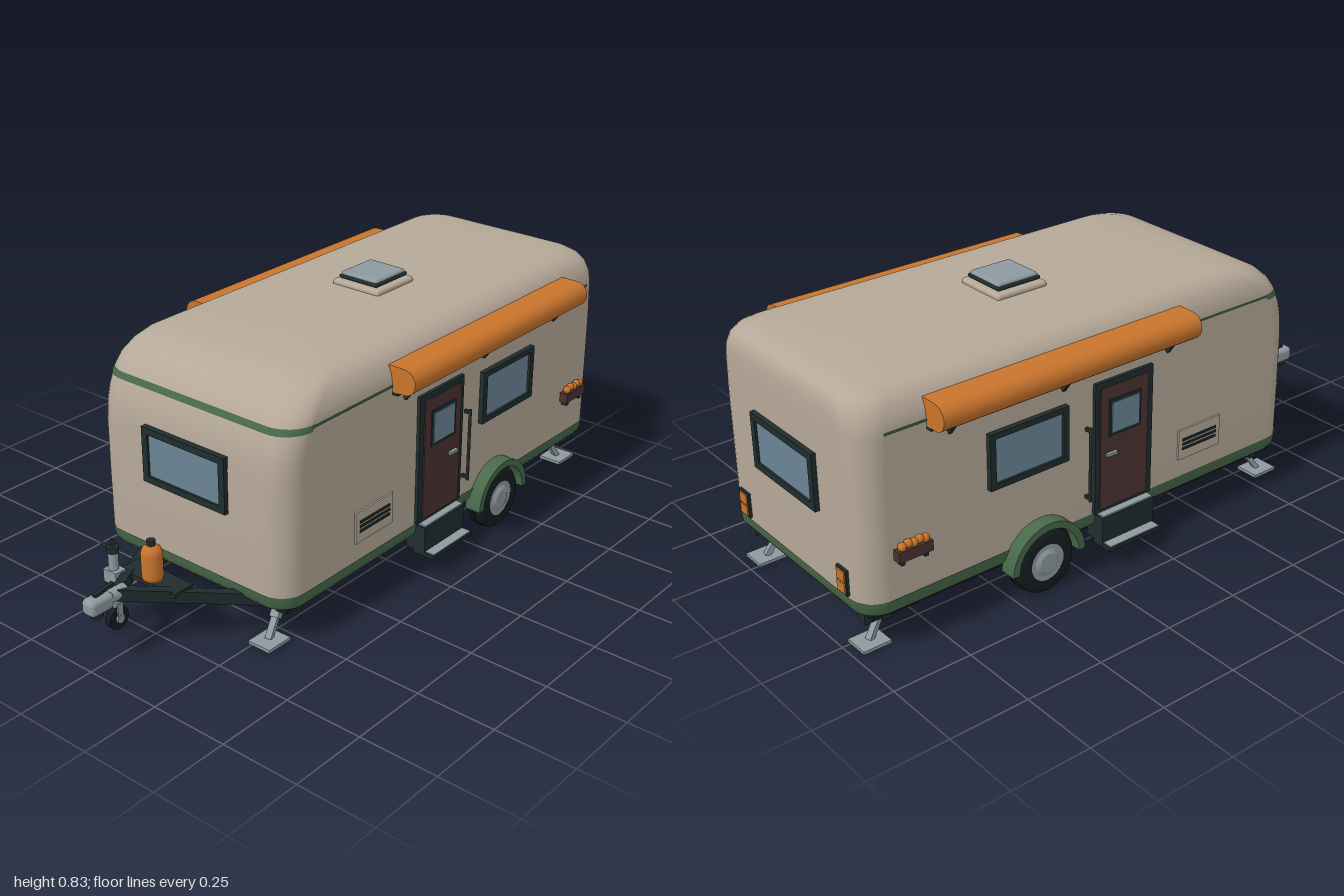
import * as THREE from 'three';
import { RoundedBoxGeometry } from 'three/addons/geometries/RoundedBoxGeometry.js';

const mat = (name, color, side = THREE.FrontSide) => {
  const m = new THREE.MeshStandardMaterial({ color, side });
  m.name = name;
  return m;
};
const M = {
  shell: mat('beige shell', 0xb5a898),
  green: mat('green trim', 0x48694a, THREE.DoubleSide),
  orange: mat('orange', 0xc8742c),
  dark: mat('dark trim', 0x1f2c2d),
  floor: mat('underfloor black', 0x141c1c),
  brown: mat('door brown', 0x4b3232),
  glass: mat('window glass', 0x6a8496),
  steel: mat('steel', 0x8d999f),
};

// Body levels: y, half width, front z, back z, corner radius
const LEVELS = [
  [0.118, 0.335, 0.57, -0.955, 0.06], [0.125, 0.351, 0.587, -0.972, 0.07],
  [0.14, 0.361, 0.598, -0.982, 0.078], [0.172, 0.365, 0.602, -0.985, 0.08],
  [0.34, 0.365, 0.603, -0.985, 0.08], [0.52, 0.365, 0.602, -0.985, 0.08],
  [0.58, 0.365, 0.597, -0.985, 0.082], [0.62, 0.365, 0.588, -0.985, 0.085],
  [0.658, 0.365, 0.574, -0.985, 0.088], [0.677, 0.365, 0.565, -0.985, 0.09],
  [0.705, 0.361, 0.546, -0.984, 0.092], [0.735, 0.348, 0.515, -0.98, 0.095],
  [0.757, 0.33, 0.475, -0.967, 0.095], [0.772, 0.303, 0.425, -0.945, 0.09],
  [0.779, 0.27, 0.365, -0.91, 0.08], [0.784, 0.19, 0.25, -0.82, 0.06],
  [0.787, 0.08, 0.05, -0.6, 0.03],
];

// Skin through rounded rectangles; grow pushes it outward, minZ keeps only the front part
function loft(levels, { grow = 0, cap = false, minZ = -9 } = {}) {
  const pos = [], idx = [], K = 9;
  for (const [y, w, zf, zb, r] of levels)
    for (let c = 0; c < 4; c++)
      for (let k = 0; k < K; k++) {
        const a = (c + k / (K - 1)) * Math.PI / 2;
        const cx = (c === 0 || c === 3 ? 1 : -1) * (w - r), cz = c < 2 ? zf - r : zb + r;
        pos.push(cx + Math.cos(a) * (r + grow), y, cz + Math.sin(a) * (r + grow));
      }
  const n = 4 * K;
  for (let l = 0; l < levels.length - 1; l++)
    for (let i = 0; i < n; i++) {
      const a = l * n + i, b = l * n + (i + 1) % n;
      if (Math.min(pos[a * 3 + 2], pos[b * 3 + 2]) < minZ) continue;
      idx.push(a, a + n, b, b, a + n, b + n);
    }
  if (cap) {
    const [y, , zf, zb] = levels[levels.length - 1], base = (levels.length - 1) * n;
    pos.push(0, y, (zf + zb) / 2);
    for (let i = 0; i < n; i++) idx.push(base + i, levels.length * n, base + (i + 1) % n);
  }
  const g = new THREE.BufferGeometry();
  g.setAttribute('position', new THREE.Float32BufferAttribute(pos, 3));
  g.setIndex(idx);
  g.computeVertexNormals();
  return g;
}

export function createModel() {
  const root = new THREE.Group();
  root.name = 'travelTrailer';
  const add = (name, geo, m, x = 0, y = 0, z = 0) => {
    const o = new THREE.Mesh(geo, m);
    o.name = name;
    o.position.set(x, y, z);
    root.add(o);
    return o;
  };
  // Box given by its ranges
  const box = (name, m, x0, x1, y0, y1, z0, z1) => add(name,
    new THREE.BoxGeometry(Math.abs(x1 - x0), y1 - y0, Math.abs(z1 - z0)), m, (x0 + x1) / 2, (y0 + y1) / 2, (z0 + z1) / 2);
  const cyl = (name, m, r0, r1, h, x, y, z, n = 20) => add(name, new THREE.CylinderGeometry(r1, r0, h, n), m, x, y, z);
  const between = (name, geo, m, a, b) => {
    const o = add(name, geo, m, (a[0] + b[0]) / 2, (a[1] + b[1]) / 2, (a[2] + b[2]) / 2);
    o.lookAt(...b);
  };
  const dist = (a, b) => Math.hypot(a[0] - b[0], a[1] - b[1], a[2] - b[2]);
  const beam = (name, m, a, b, w, h) => between(name, new THREE.BoxGeometry(w, h, dist(a, b)), m, a, b);
  const rod = (name, m, a, b, r) => between(name, new THREE.CylinderGeometry(r, r, dist(a, b), 14).rotateX(Math.PI / 2), m, a, b);

  // Shell, skirt and front stripe
  add('bodyShell', loft(LEVELS, { cap: true }), M.shell);
  add('skirt', loft(LEVELS.slice(0, 4), { grow: 0.003 }), M.green);
  add('frontStripe', loft(LEVELS.slice(8, 10), { grow: 0.002, minZ: 0.47 }), M.green);

  // Chassis
  box('floorPan', M.floor, -0.335, 0.335, 0.108, 0.121, -0.95, 0.56);
  for (const z of [-0.9, -0.4, 0.1, 0.5]) box('crossMember', M.dark, -0.33, 0.33, 0.093, 0.11, z - 0.015, z + 0.015);
  rod('axle', M.dark, [-0.35, 0.1, -0.4], [0.35, 0.1, -0.4], 0.015);

  // Front and rear windows
  for (const [d, z] of [[1, 0.6], [-1, -0.983]]) {
    box('endWindowGlass', M.glass, -0.138, 0.138, 0.405, 0.542, z, z + d * 0.01);
    for (const y of [0.385, 0.539]) box('endWindowFrame', M.dark, -0.16, 0.16, y, y + 0.021, z - d * 0.01, z + d * 0.017);
    for (const s of [1, -1]) box('endWindowFrame', M.dark, s * 0.138, s * 0.16, 0.385, 0.56, z - d * 0.01, z + d * 0.017);
  }

  // Roof hatch
  add('hatchBase', new RoundedBoxGeometry(0.18, 0.022, 0.18, 3, 0.01), M.shell, 0, 0.791, -0.235);
  box('hatchNeck', M.dark, -0.06, 0.06, 0.795, 0.81, -0.295, -0.175);
  add('hatchRim', new RoundedBoxGeometry(0.148, 0.012, 0.155, 3, 0.006), M.dark, 0, 0.811, -0.235);
  add('hatchLid', new RoundedBoxGeometry(0.138, 0.016, 0.145, 3, 0.008), M.steel, 0, 0.819, -0.235);

  for (const s of [1, -1]) {
    const side = (name, m, x0, x1, y0, y1, z0, z1) => box(name, m, s * x0, s * x1, y0, y1, z0, z1);
    side('sideTrimLine', M.green, 0.36, 0.3675, 0.667, 0.673, -0.9, 0.48);
    side('sideRail', M.dark, 0.275, 0.31, 0.085, 0.12, -0.96, 0.54);

    // Awning case with brackets
    const z0 = -0.77, z1 = 0.135, zm = (z0 + z1) / 2;
    add('awningRoll', new THREE.CylinderGeometry(0.04, 0.04, z1 - z0, 24).rotateX(Math.PI / 2), M.orange, s * 0.405, 0.692, zm);
    side('awningBack', M.orange, 0.345, 0.405, 0.652, 0.732, z0, z1);
    side('awningRail', M.dark, 0.362, 0.385, 0.643, 0.653, z0, z1);
    for (const z of [0.075, -0.315, -0.7])
      beam('awningBracket', M.dark, [s * 0.367, 0.612, z], [s * 0.4, 0.657, z], 0.012, 0.012);

    // Door
    side('doorFrame', M.dark, 0.355, 0.376, 0.172, 0.593, -0.205, 0.013);
    side('doorPanel', M.brown, 0.37, 0.38, 0.182, 0.575, -0.188, -0.008);
    side('doorWindowFrame', M.dark, 0.37, 0.383, 0.416, 0.533, -0.158, -0.038);
    side('doorWindow', M.glass, 0.375, 0.386, 0.426, 0.523, -0.149, -0.046);
    side('doorHandle', M.steel, 0.378, 0.39, 0.355, 0.364, -0.168, -0.13);
    rod('grabRail', M.dark, [s * 0.385, 0.23, -0.23], [s * 0.385, 0.47, -0.23], 0.005);
    for (const y of [0.24, 0.46]) side('grabRailMount', M.dark, 0.36, 0.386, y - 0.005, y + 0.005, -0.235, -0.225);

    // Entry step
    side('stepBox', M.dark, 0.33, 0.4, 0.08, 0.165, -0.195, 0.005);
    side('stepTopPlate', M.steel, 0.36, 0.398, 0.165, 0.17, -0.19, 0);
    side('stepTread', M.dark, 0.36, 0.435, 0.068, 0.08, -0.195, 0.005);
    side('stepTreadPlate', M.steel, 0.4, 0.432, 0.08, 0.083, -0.19, 0);

    // Side window
    side('sideWindowGlass', M.glass, 0.36, 0.373, 0.405, 0.547, -0.565, -0.32);
    for (const y of [0.39, 0.546]) side('sideWindowFrame', M.dark, 0.355, 0.381, y, y + 0.018, -0.58, -0.305);
    for (const z of [-0.58, -0.325]) side('sideWindowFrame', M.dark, 0.355, 0.381, 0.39, 0.564, z, z + 0.02);

    // Louvred vent
    side('ventPlate', M.shell, 0.36, 0.371, 0.23, 0.33, 0.13, 0.3);
    for (const y of [0.262, 0.277, 0.292]) side('ventSlat', M.dark, 0.365, 0.374, y, y + 0.008, 0.145, 0.283);

    // Flower box
    side('flowerBox', M.brown, 0.363, 0.392, 0.293, 0.325, -0.892, -0.782);
    for (const z of [-0.8, -0.875]) side('flowerBoxBracket', M.dark, 0.36, 0.385, 0.278, 0.294, z - 0.006, z + 0.006);
    for (let i = 0; i < 5; i++)
      add('flower', new THREE.SphereGeometry(0.013, 10, 8), M.orange, s * 0.38, 0.334 + (i % 2) * 0.004, -0.8 - i * 0.0185);

    // Wheel and arch
    const tyre = [[0.058, -0.033], [0.09, -0.033], [0.1, -0.022], [0.1, 0.022], [0.09, 0.033], [0.058, 0.033]]
      .map(p => new THREE.Vector2(...p));
    const wheel = new THREE.Group();
    wheel.name = 'wheel';
    wheel.position.set(s * 0.367, 0.1, -0.4);
    wheel.rotation.z = -s * Math.PI / 2;
    const part = (name, geo, m, y = 0) => {
      const o = new THREE.Mesh(geo, m);
      o.name = name;
      o.position.y = y;
      wheel.add(o);
    };
    part('tyre', new THREE.LatheGeometry(tyre, 32), M.floor);
    part('rim', new THREE.CylinderGeometry(0.06, 0.06, 0.062, 28), M.steel);
    part('hubCap', new THREE.CylinderGeometry(0.03, 0.045, 0.008, 20), M.steel, 0.034);
    root.add(wheel);
    const arch = new THREE.Shape();
    arch.absarc(0, 0, 0.13, 0, Math.PI, false);
    arch.absarc(0, 0, 0.108, Math.PI, 0, true);
    const archGeo = new THREE.ExtrudeGeometry(arch, { depth: 0.055, bevelEnabled: false, curveSegments: 24 });
    add('wheelArch', archGeo, M.green, s > 0 ? 0.355 : -0.41, 0.103, -0.4).rotation.y = Math.PI / 2;
    add('archLining', new THREE.CylinderGeometry(0.112, 0.112, 0.01, 28, 1).rotateZ(Math.PI / 2), M.floor, s * 0.365, 0.11, -0.4);

    // Tail light
    box('tailLightHousing', M.dark, s * 0.235, s * 0.285, 0.178, 0.258, -0.975, -0.993);
    for (const y of [0.184, 0.221]) box('tailLightLens', M.orange, s * 0.241, s * 0.279, y, y + 0.031, -0.99, -0.997);

    // Stabiliser legs
    for (const [za, zb] of [[0.5, 0.575], [-0.86, -0.93]]) {
      const mid = [s * 0.27, 0.06, (za + zb) / 2];
      beam('stabiliserSleeve', M.steel, [s * 0.263, 0.115, za], mid, 0.028, 0.024);
      beam('stabiliserLeg', M.steel, mid, [s * 0.278, 0.008, zb], 0.02, 0.016);
      box('stabiliserFoot', M.steel, s * 0.24, s * 0.32, 0, 0.01, zb - 0.045, zb + 0.045);
    }

    // Tow frame arm
    beam('towArm', M.dark, [0, 0.2, 0.89], [s * 0.27, 0.095, 0.48], 0.028, 0.036);
  }

  // Coupler
  rod('couplerNeck', M.steel, [0, 0.2, 0.86], [0, 0.2, 0.94], 0.02);
  add('couplerHead', new RoundedBoxGeometry(0.05, 0.05, 0.085, 3, 0.015), M.steel, 0, 0.2, 0.957);
  cyl('couplerSocket', M.dark, 0.018, 0.02, 0.02, 0, 0.173, 0.965);
  beam('couplerLever', M.dark, [0, 0.228, 0.97], [0, 0.238, 0.9], 0.012, 0.01);

  // Gas bottle on its tray
  box('bottleTray', M.dark, -0.11, 0.11, 0.17, 0.184, 0.7, 0.775);
  const bottle = [[0, 0.184], [0.03, 0.184], [0.032, 0.195], [0.032, 0.265], [0.027, 0.282], [0.014, 0.292], [0, 0.294]]
    .map(p => new THREE.Vector2(...p));
  add('gasBottle', new THREE.LatheGeometry(bottle, 24), M.orange, 0, 0, 0.75);
  cyl('bottleValve', M.dark, 0.013, 0.013, 0.02, 0, 0.298, 0.75, 14);

  // Jockey wheel
  const jx = -0.105, jz = 0.8;
  cyl('jockeyOuterTube', M.steel, 0.015, 0.015, 0.17, jx, 0.17, jz);
  cyl('jockeyInnerTube', M.steel, 0.01, 0.01, 0.05, jx, 0.075, jz);
  box('jockeyClamp', M.steel, jx - 0.023, jx + 0.028, 0.157, 0.198, jz - 0.02, jz + 0.02);
  box('jockeyClampArm', M.dark, jx, -0.045, 0.165, 0.185, jz - 0.012, jz + 0.012);
  cyl('jockeyCollar', M.dark, 0.018, 0.018, 0.018, jx, 0.261, jz);
  cyl('jockeyPost', M.dark, 0.006, 0.006, 0.025, jx, 0.281, jz, 12);
  rod('jockeyCrank', M.dark, [jx - 0.045, 0.262, jz], [jx, 0.262, jz], 0.005);
  for (const s of [1, -1]) box('jockeyFork', M.steel, jx + s * 0.013, jx + s * 0.018, 0.025, 0.085, jz - 0.01, jz + 0.01);
  box('jockeyForkTop', M.steel, jx - 0.018, jx + 0.018, 0.08, 0.088, jz - 0.012, jz + 0.012);
  add('jockeyTyre', new THREE.CylinderGeometry(0.036, 0.036, 0.022, 24).rotateZ(Math.PI / 2), M.floor, jx, 0.036, jz);
  add('jockeyHub', new THREE.CylinderGeometry(0.014, 0.014, 0.038, 14).rotateZ(Math.PI / 2), M.steel, jx, 0.036, jz);

  return root;
}
